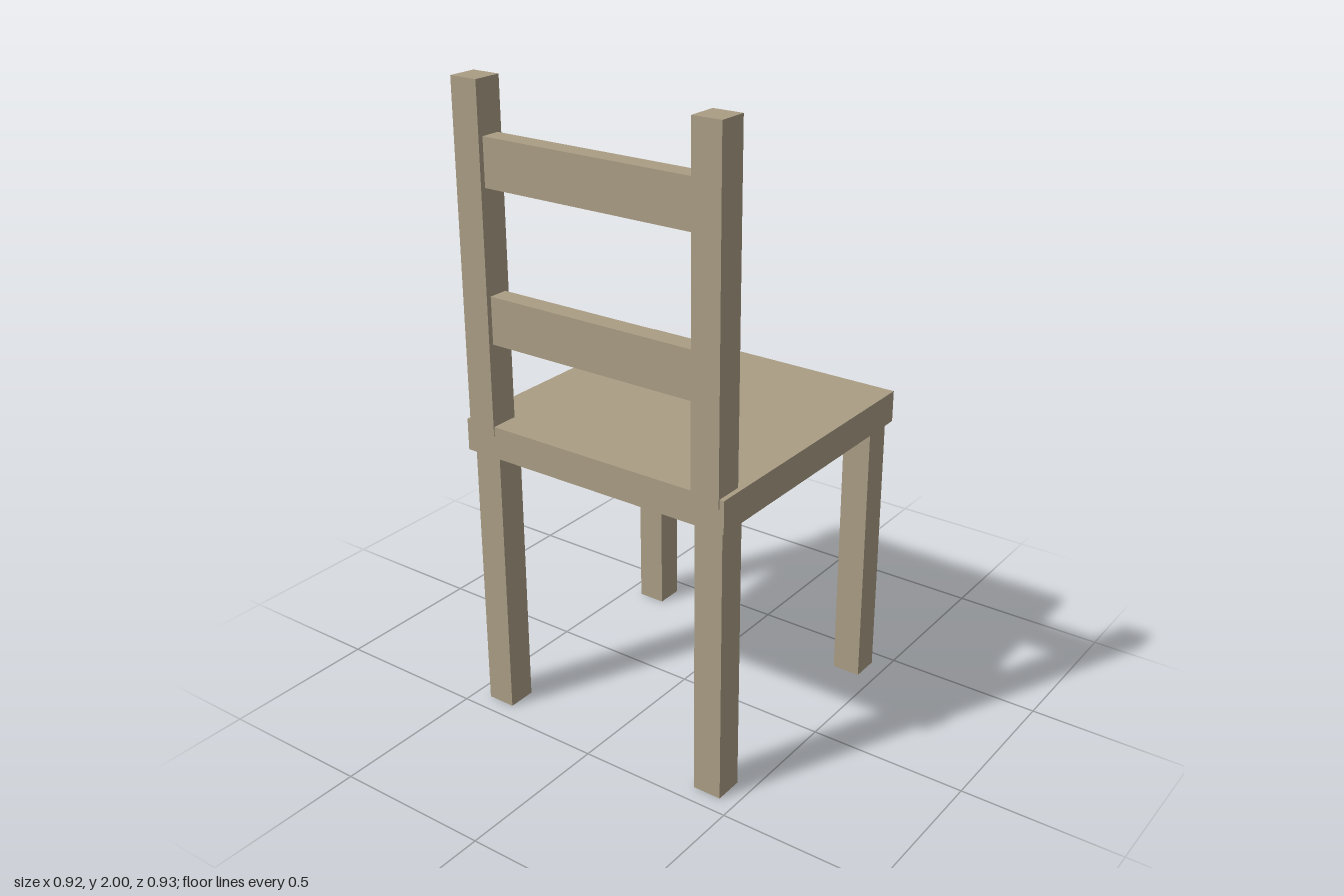
import * as THREE from 'three';

export function createModel() {
  const group = new THREE.Group();
  const wood = new THREE.MeshStandardMaterial({ color: 0xaa9d84 });
  wood.name = 'wood';

  // Box given by its centre in x and its extents in y and z
  const addBox = (name, x, width, [y0, y1], [z0, z1]) => {
    const mesh = new THREE.Mesh(new THREE.BoxGeometry(width, y1 - y0, z1 - z0), wood);
    mesh.name = name;
    mesh.position.set(x, (y0 + y1) / 2, (z0 + z1) / 2);
    group.add(mesh);
  };

  addBox('seat', 0, 0.924, [0.878, 0.979], [-0.464, 0.46]);

  // Legs and backrest posts, mirrored; the backrest stands on the +z side
  for (const [side, sign] of [['left', 1], ['right', -1]]) {
    const x = sign * 0.401;
    addBox(side + 'LegNear', x, 0.092, [0, 0.878], [0.352, 0.444]);
    addBox(side + 'LegFar', x, 0.092, [0, 0.878], [-0.446, -0.354]);
    addBox(side + 'BackPost', x, 0.092, [0.95, 2], [0.371, 0.463]);
  }

  // Horizontal slats between the posts
  addBox('lowerSlat', 0, 0.712, [1.234, 1.38], [0.385, 0.447]);
  addBox('upperSlat', 0, 0.712, [1.697, 1.842], [0.385, 0.447]);

  return group;
}
